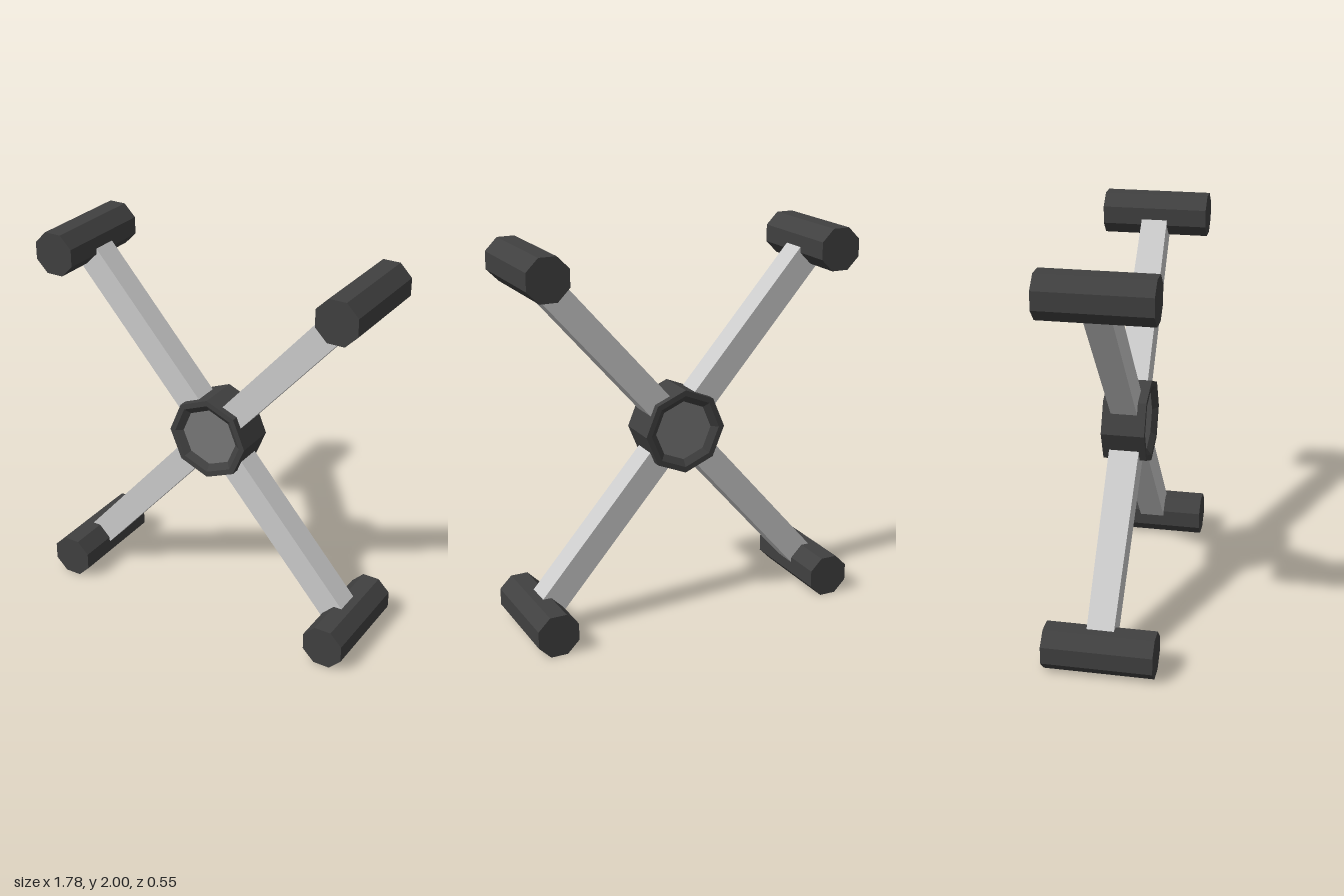
import * as THREE from 'three';

const mat = (color) => new THREE.MeshStandardMaterial({ color, flatShading: true });
const grey = mat(0xcccccc), dark = mat(0x404040), mid = mat(0x777777);

const POD_X = 0.782, POD_Y = 0.893, HUB_Y = 1;

function add(group, name, geometry, material, x = 0, y = HUB_Y) {
  const mesh = new THREE.Mesh(geometry, material);
  mesh.name = name;
  mesh.position.set(x, y, 0);
  group.add(mesh);
  return mesh;
}

// Square beam through the hub, its depth swelling to midDepth at the centre
function beamGeometry(midDepth, endDepth) {
  const g = new THREE.BoxGeometry(0.14, 2 * Math.hypot(POD_X, POD_Y), endDepth, 1, 2, 1);
  const p = g.attributes.position;
  for (let i = 0; i < p.count; i++) {
    if (Math.abs(p.getY(i)) < 0.01) p.setZ(i, p.getZ(i) * midDepth / endDepth);
  }
  return g;
}

export function createModel() {
  const model = new THREE.Group();
  model.name = 'crossFrame';

  // Two crossing beams, one thicker at the middle
  const angle = Math.atan2(POD_X, POD_Y);
  add(model, 'taperedBeam', beamGeometry(0.156, 0.134), grey).rotation.z = -angle;
  add(model, 'straightBeam', beamGeometry(0.134, 0.134), grey).rotation.z = angle;

  // Octagonal pods at the four beam ends, flat side up
  const podGeometry = new THREE.CylinderGeometry(0.116, 0.116, 0.55, 8)
    .rotateY(Math.PI / 8).rotateX(Math.PI / 2);
  for (const sx of [1, -1]) {
    for (const sy of [1, -1]) {
      const name = (sy > 0 ? 'upper' : 'lower') + (sx > 0 ? 'Left' : 'Right') + 'Pod';
      add(model, name, podGeometry, dark, sx * POD_X, HUB_Y + sy * POD_Y);
    }
  }

  // Octagonal hub with a bevelled recess on both faces, corner up
  const profile = [[0.155, -0.085], [0.19, -0.11], [0.22, -0.11],
    [0.22, 0.11], [0.19, 0.11], [0.155, 0.085]].map(([r, y]) => new THREE.Vector2(r, y));
  add(model, 'hub', new THREE.LatheGeometry(profile, 8).rotateX(Math.PI / 2), dark);

  // Panels at the bottom of the recesses
  add(model, 'hubPanels',
    new THREE.CylinderGeometry(0.155, 0.155, 0.17, 8).rotateX(Math.PI / 2), mid);

  return model;
}
